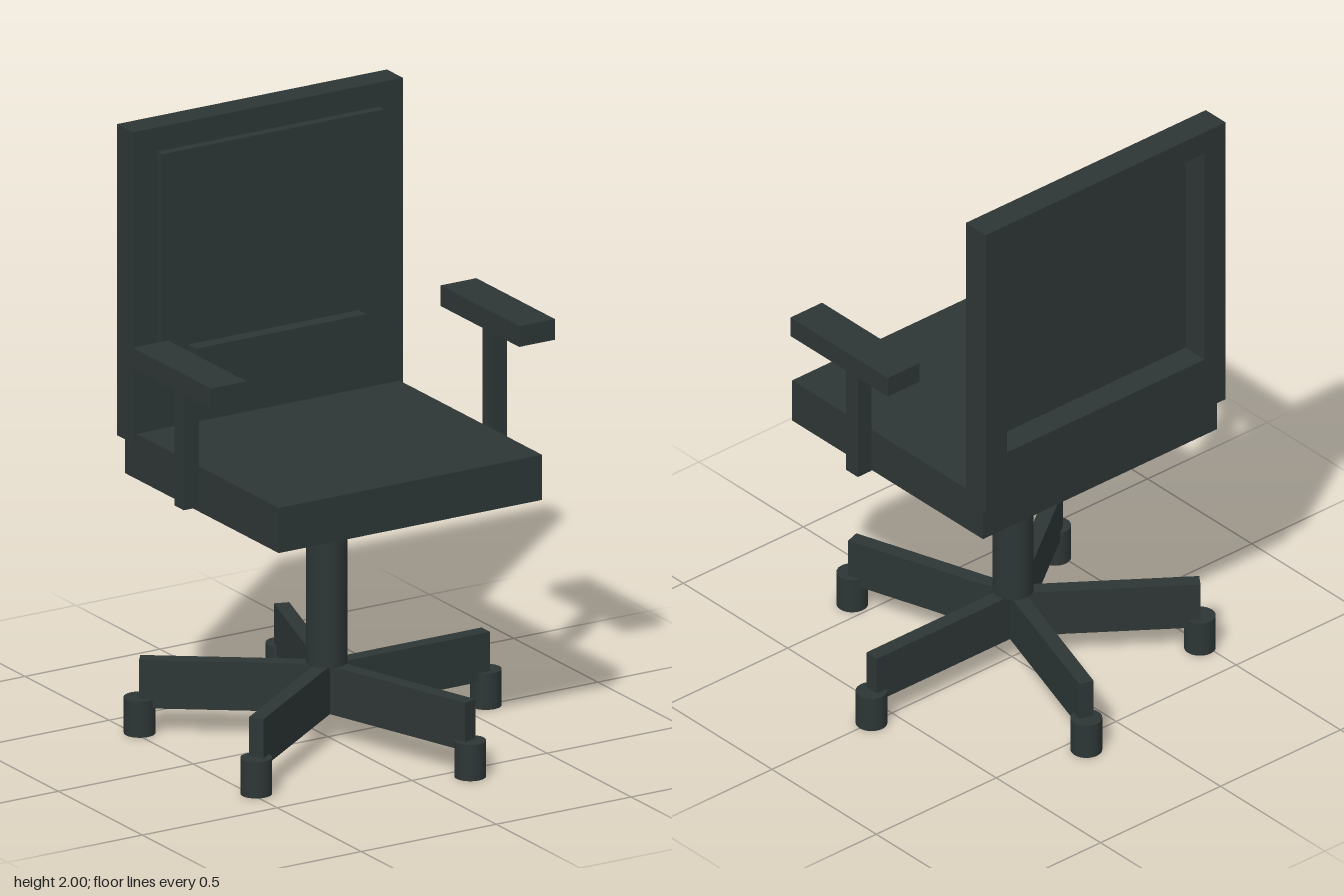
import * as THREE from 'three';

const charcoal = new THREE.MeshStandardMaterial({ color: 0x2d3635 });
charcoal.name = 'charcoal';

function add(parent, name, geometry, x = 0, y = 0, z = 0) {
  const mesh = new THREE.Mesh(geometry, charcoal);
  mesh.name = name;
  mesh.position.set(x, y, z);
  parent.add(mesh);
  return mesh;
}

// Box given by its lower and upper limits on each axis
function box(parent, name, [x0, x1], [y0, y1], [z0, z1]) {
  return add(parent, name, new THREE.BoxGeometry(x1 - x0, y1 - y0, z1 - z0),
    (x0 + x1) / 2, (y0 + y1) / 2, (z0 + z1) / 2);
}

function rectangle(PathType, x0, x1, y0, y1) {
  return new PathType([[x0, y0], [x1, y0], [x1, y1], [x0, y1]]
    .map(([x, y]) => new THREE.Vector2(x, y)));
}

export function createModel() {
  const chair = new THREE.Group();
  chair.name = 'officeChair';
  chair.position.x = -0.005;

  // Five-spoke base with a caster under each tip
  const spokes = 5, reach = 0.59;
  for (let i = 0; i < spokes; i++) {
    const spoke = new THREE.Group();
    spoke.name = 'baseSpoke';
    spoke.rotation.y = (i / spokes) * Math.PI * 2;
    box(spoke, 'baseLeg', [0, reach], [0.09, 0.25], [-0.025, 0.025]);
    add(spoke, 'caster', new THREE.CylinderGeometry(0.05, 0.05, 0.12, 32), reach, 0.06, 0);
    chair.add(spoke);
  }

  // Column and seat
  add(chair, 'column', new THREE.CylinderGeometry(0.065, 0.065, 0.6, 32), 0, 0.55, 0);
  box(chair, 'seat', [-0.488, 0.488], [0.845, 0.995], [-0.417, 0.498]);

  // Backrest frame with an open window, closed at the front by a panel
  const frame = rectangle(THREE.Shape, -0.5, 0.5, 0.965, 2);
  frame.holes.push(rectangle(THREE.Path, -0.412, 0.412, 1.15, 1.92));
  add(chair, 'backFrame',
    new THREE.ExtrudeGeometry(frame, { depth: 0.095, bevelEnabled: false }), 0, 0, -0.444);
  box(chair, 'backPanel', [-0.412, 0.412], [1.15, 1.92], [-0.352, -0.318]);
  box(chair, 'lumbarPad', [-0.315, 0.315], [1.142, 1.27], [-0.334, -0.27]);

  // Armrests
  for (const side of [-1, 1]) {
    const arm = new THREE.Group();
    arm.name = side > 0 ? 'leftArmrest' : 'rightArmrest';
    arm.position.x = side * 0.571;
    box(arm, 'armPost', [-0.028, 0.028], [0.895, 1.305], [0.055, 0.111]);
    box(arm, 'armPad', [-0.066, 0.066], [1.303, 1.372], [-0.132, 0.335]);
    chair.add(arm);
  }

  const model = new THREE.Group();
  model.name = 'model';
  model.add(chair);
  return model;
}
